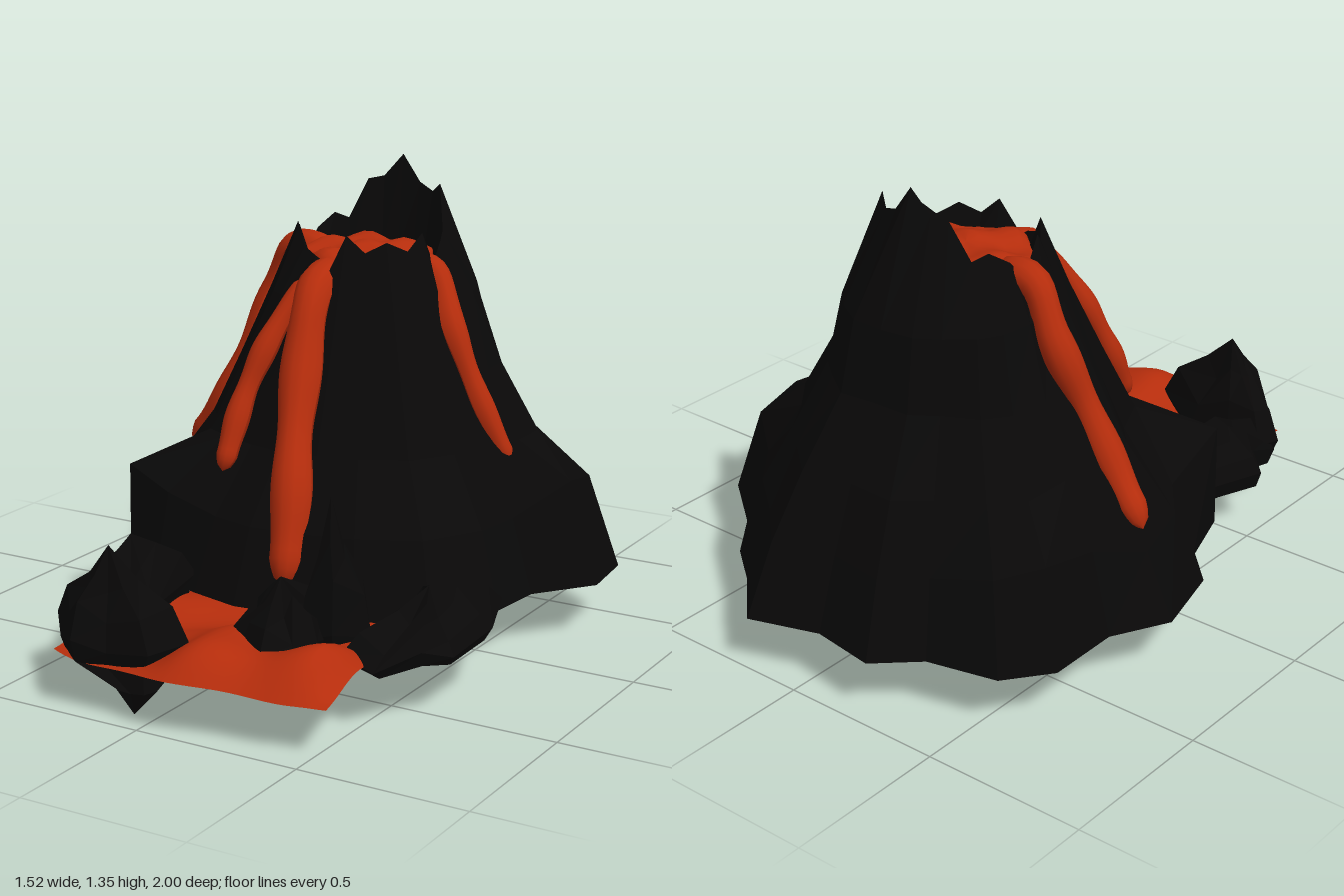
import * as THREE from 'three';

const rockMat = new THREE.MeshStandardMaterial({ color: 0x090808, flatShading: true });
const lavaMat = new THREE.MeshStandardMaterial({ color: 0xb52d0c, side: THREE.DoubleSide });
const { lerp, smoothstep } = THREE.MathUtils;

// Skin closed rings of [x, y, z] from bottom to top, with a point closing each end
function loft(rings, bottom, top) {
  const n = rings[0].length, m = rings.length, idx = [];
  const pos = [...rings.flat(), bottom, top].flat();
  const at = (j, i) => j * n + (i % n);
  for (let i = 0; i < n; i++) {
    for (let j = 0; j < m - 1; j++) {
      idx.push(at(j, i), at(j + 1, i), at(j, i + 1), at(j, i + 1), at(j + 1, i), at(j + 1, i + 1));
    }
    idx.push(m * n, at(0, i), at(0, i + 1), m * n + 1, at(m - 1, i + 1), at(m - 1, i));
  }
  const g = new THREE.BufferGeometry();
  g.setAttribute('position', new THREE.Float32BufferAttribute(pos, 3));
  g.setIndex(idx);
  g.computeVertexNormals();
  return g;
}

// Mountain: the foot outline shrinks towards a jagged crater rim, then dips inside
function mountain() {
  const cx = -0.02, cz = -0.28;
  const foot = [
    [0.17, -1], [0.32, -0.85], [0.45, -0.75], [0.56, -0.61], [0.74, -0.47], [0.76, -0.27],
    [0.63, -0.1], [0.61, 0.08], [0.5, 0.28], [0.3, 0.37], [0.12, 0.41], [-0.06, 0.43],
    [-0.22, 0.39], [-0.4, 0.33], [-0.53, 0.27], [-0.6, 0.06], [-0.7, -0.03], [-0.76, -0.27],
    [-0.67, -0.44], [-0.67, -0.67], [-0.57, -0.8], [-0.36, -0.85], [-0.24, -0.96], [-0.04, -0.93],
  ];
  const rim = [1.27, 1.25, 1.28, 1.15, 1.13, 1.07, 1.17, 1.12, 1.15, 1.12, 1.17, 1.03,
    1.1, 1.12, 1.18, 1.14, 1.17, 1.07, 1.13, 1.17, 1.15, 1.27, 1.28, 1.35];
  // Lift of the lower shoulder around the mountain
  const shoulder = [0, 0, 0.02, 0.03, 0.06, 0.09, 0, 0, 0, 0, 0, 0,
    0, 0.04, 0.1, 0.02, -0.01, -0.02, 0.02, 0.06, 0.04, 0, 0, 0];
  // height, share of the foot radius, roundness, extra bulge at the back
  const levels = [[0.165, 1, 0, 0], [0.38, 0.88, 0.05, 0], [0.57, 0.67, 0.3, 0.07],
    [0.77, 0.54, 0.5, 0.02], [0.98, 0.41, 0.8, 0.09], [null, 0.3, 1, 0], [1.06, 0.26, 1, 0]];
  const rings = levels.map(([y, f, round, bulge], level) => foot.map(([x, z], i) => {
    const dx = x - cx, dz = z - cz, d = Math.hypot(dx, dz);
    const lift = level === 1 ? shoulder[i] : 0;
    const share = f + bulge * Math.max(0, -dz / d) + 1.6 * lift * Math.max(0, dz / d);
    const r = lerp(d, 0.73, round) * share;
    return [cx + dx / d * r, (y ?? rim[i]) + lift, cz + dz / d * r];
  }));
  return loft(rings, [cx, 0.165, cz], [cx, 1.02, cz]);
}

// Craggy boulder grown from its ground outline [x, z] up to a peak and down to a low point
function boulder(outline, peak, lowPoint) {
  const cx = outline.reduce((s, p) => s + p[0], 0) / outline.length;
  const cz = outline.reduce((s, p) => s + p[1], 0) / outline.length;
  const low = lowPoint ?? [cx, 0.12, cz];
  const base = Math.max(0.135, low[1] + 0.01);
  const ring = (s, y, rough, lean, target) => outline.map(([x, z], i) => [
    lerp(cx, target[0], lean) + (x - cx) * s,
    y + rough * Math.sin(i * 2.4 + cx * 20),
    lerp(cz, target[2], lean) + (z - cz) * s,
  ]);
  const h = peak[1] - 0.18;
  return loft([
    ring(0.32, lerp(base, low[1], 0.45), 0.005, 0.9, low),
    ring(0.88, base, 0.008, 0, low), ring(1, 0.19, 0.02, 0, peak),
    ring(0.8, 0.18 + h * 0.36, 0.035, 0.1, peak), ring(0.36, 0.18 + h * 0.62, 0.03, 0.75, peak),
  ], low, peak);
}

// Lava stream: a slightly wavy tube, rounded off at both ends
function stream(points, radius, endRadius) {
  const curve = new THREE.CatmullRomCurve3(points.map((p) => new THREE.Vector3(...p)));
  const rows = 40, sides = 12;
  const g = new THREE.TubeGeometry(curve, rows, 1, sides);
  const pos = g.attributes.position, v = new THREE.Vector3();
  for (let i = 0; i < pos.count; i++) {
    const t = Math.floor(i / (sides + 1)) / rows;
    const c = curve.getPointAt(t);
    const round = Math.sqrt(Math.min(1, t * 14, (1 - t) * 14));
    const r = lerp(radius, endRadius, t) * round * (1 + 0.1 * Math.sin(t * 19));
    v.fromBufferAttribute(pos, i).sub(c).multiplyScalar(r).add(c);
    pos.setXYZ(i, v.x, v.y, v.z);
  }
  g.computeVertexNormals();
  return g;
}

// Rippled lava in the crater
function craterLava() {
  const g = new THREE.SphereGeometry(1, 32, 16);
  const pos = g.attributes.position;
  for (let i = 0; i < pos.count; i++) {
    const x = pos.getX(i), y = pos.getY(i), z = pos.getZ(i);
    const a = Math.atan2(z, x), r = 0.2 + 0.01 * Math.sin(a * 5);
    const ripple = 0.012 * Math.sin(x * 6 + z * 4) + 0.008 * Math.sin(z * 9 - x * 3);
    pos.setXYZ(i, -0.02 + x * r, 1.075 + y * 0.04 + ripple, -0.265 + z * r);
  }
  g.computeVertexNormals();
  return g;
}

// Wavy sheet of lava spreading from the foot of the mountain, swelling near its front edge
function lavaPool() {
  const g = new THREE.PlaneGeometry(1, 1, 32, 32);
  const pos = g.attributes.position;
  for (let i = 0; i < pos.count; i++) {
    const u = pos.getX(i) + 0.5, v = 0.5 - pos.getY(i);
    const x = lerp(-0.27 + 0.76 * u, -0.33 + 0.87 * u, v);
    const edge = 0.92 + 0.07 * Math.sin(Math.PI * Math.min(1, u * 1.08)) + 0.008 * Math.sin(u * 16);
    const z = lerp(0.22, edge, v);
    const side = smoothstep(x, -0.12, 0.12) * (1 - 0.8 * smoothstep(x, 0.44, 0.56));
    const swell = side * (0.08 + 0.018 * Math.cos((x - 0.13) * 20)) * Math.sin(Math.PI * v ** 2.8);
    const y = 0.147 + swell + 0.014 * Math.sin(v * 13 + x * 9) * (1 - v * 0.4);
    pos.setXYZ(i, x, y, z);
  }
  g.computeVertexNormals();
  return g;
}

export function createModel() {
  const model = new THREE.Group();
  const add = (name, geometry, material) => {
    const mesh = new THREE.Mesh(geometry, material);
    mesh.name = name;
    model.add(mesh);
  };

  add('mountain', mountain(), rockMat);
  add('craterLava', craterLava(), lavaMat);
  add('lavaPool', lavaPool(), lavaMat);

  // Streams down the slopes
  add('frontStream', stream([[-0.04, 1.04, -0.18], [-0.045, 1.02, -0.02], [-0.035, 0.97, 0.04],
    [-0.02, 0.8, 0.115], [0.02, 0.6, 0.225], [0.055, 0.43, 0.3], [0.08, 0.23, 0.38]], 0.06, 0.055), lavaMat);
  add('frontBranch', stream([[-0.07, 1.04, -0.04], [-0.13, 0.92, 0.055], [-0.19, 0.72, 0.15],
    [-0.21, 0.5, 0.25]], 0.035, 0.035), lavaMat);
  add('rightStream', stream([[-0.13, 1.05, -0.28], [-0.28, 1.075, -0.29], [-0.36, 0.93, -0.3],
    [-0.43, 0.73, -0.25], [-0.52, 0.55, -0.23], [-0.64, 0.41, -0.25]], 0.048, 0.048), lavaMat);
  add('leftStream', stream([[0.08, 1.05, -0.26], [0.21, 1.05, -0.26], [0.3, 0.9, -0.21],
    [0.385, 0.71, -0.21], [0.49, 0.49, -0.24]], 0.045, 0.03), lavaMat);

  // Boulders around the pool
  add('rightBoulder', boulder([[-0.4, 0.3], [-0.24, 0.35], [-0.23, 0.58], [-0.22, 0.72], [-0.35, 0.8],
    [-0.42, 0.76], [-0.41, 0.65], [-0.49, 0.58], [-0.43, 0.43]], [-0.35, 0.36, 0.52]), rockMat);
  add('frontBoulder', boulder([[-0.28, 0.7], [-0.12, 0.72], [0.06, 0.83], [0, 0.94], [-0.13, 0.95],
    [-0.22, 0.99], [-0.32, 0.9], [-0.42, 0.78], [-0.4, 0.7]], [-0.18, 0.45, 0.86], [-0.07, 0, 0.91]), rockMat);
  add('middleBoulder', boulder([[0.2, 0.39], [0.35, 0.4], [0.42, 0.47], [0.33, 0.55], [0.36, 0.66],
    [0.34, 0.75], [0.27, 0.81], [0.17, 0.75], [0.08, 0.72], [0.11, 0.6], [0.11, 0.48]], [0.22, 0.36, 0.62]), rockMat);
  add('middleSpire', boulder([[0.27, 0.4], [0.37, 0.4], [0.42, 0.47], [0.37, 0.6], [0.26, 0.6]],
    [0.32, 0.58, 0.52]), rockMat);
  add('leftBoulder', boulder([[0.52, 0.12], [0.62, 0.07], [0.69, 0.27], [0.69, 0.5], [0.64, 0.59],
    [0.56, 0.71], [0.44, 0.67], [0.46, 0.5], [0.42, 0.34], [0.44, 0.22]], [0.56, 0.33, 0.4], [0.56, 0.145, 0.4]), rockMat);

  return model;
}
